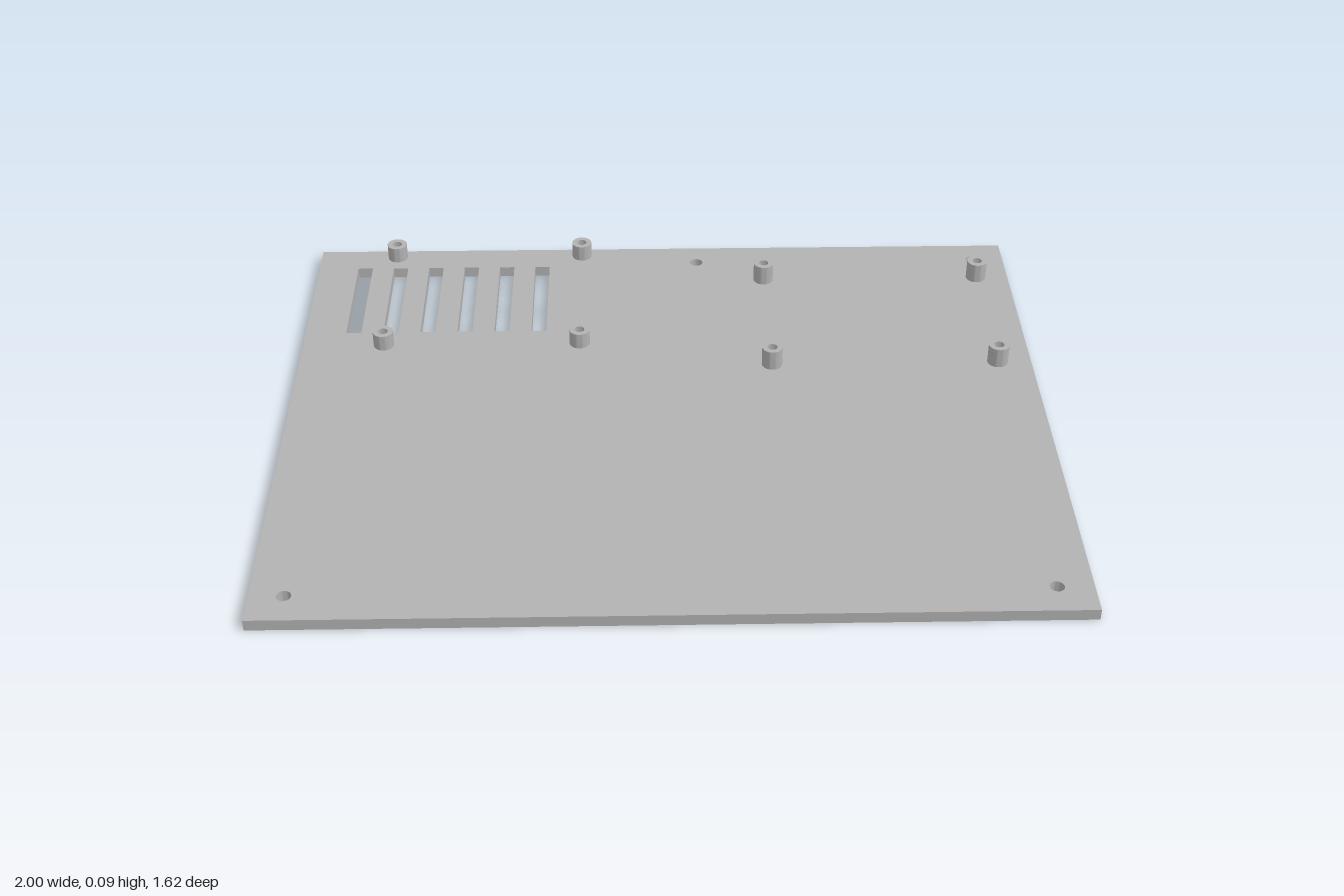
import * as THREE from 'three';
import { toCreasedNormals } from 'three/addons/utils/BufferGeometryUtils.js';

const HALF_X = 1, HALF_Z = 0.81, THICK = 0.03;
const RECESS_DEPTH = 0.013, RECESS_R = 0.052;

// Outlines live in the x / -z plane and are laid flat afterwards.
const layFlat = (geometry) => geometry.rotateX(-Math.PI / 2);

function circlePath(x, z, r) {
  const path = new THREE.Path();
  path.absarc(x, -z, r, 0, Math.PI * 2, true);
  return path;
}

function rectPoints(x0, x1, z0, z1) {
  return [[x0, -z1], [x1, -z1], [x1, -z0], [x0, -z0]].map(([x, y]) => new THREE.Vector2(x, y));
}

function plateFace(holes) {
  const shape = new THREE.Shape(rectPoints(-HALF_X, HALF_X, -HALF_Z, HALF_Z));
  shape.holes.push(...holes);
  return layFlat(new THREE.ShapeGeometry(shape, 16));
}

// Vertical wall following a closed outline: counter-clockwise faces out, clockwise faces in.
function wall(points, y0, y1) {
  const v = [];
  points.forEach((a, i) => {
    const b = points[(i + 1) % points.length];
    if (a.distanceTo(b) < 1e-6) return;
    v.push(a.x, a.y, y0, b.x, b.y, y0, b.x, b.y, y1);
    v.push(a.x, a.y, y0, b.x, b.y, y1, a.x, a.y, y1);
  });
  const geometry = new THREE.BufferGeometry();
  geometry.setAttribute('position', new THREE.Float32BufferAttribute(v, 3));
  geometry.computeVertexNormals();
  return layFlat(toCreasedNormals(geometry, Math.PI / 5));
}

export function createModel() {
  const model = new THREE.Group();
  model.name = 'basePlate';
  const grey = new THREE.MeshStandardMaterial({ color: 0xb2b2b2 });
  grey.name = 'light grey';

  const add = (name, geometry, parent = model) => {
    const mesh = new THREE.Mesh(geometry, grey);
    mesh.name = name;
    parent.add(mesh);
    return mesh;
  };

  // Screw holes and ventilation slots go right through the plate
  const screwHoles = [[0.1, -0.732], [0.91, -0.732], [0.91, 0.725], [-0.915, 0.725]]
    .map(([x, z]) => circlePath(x, z, 0.018));
  const ventSlots = [];
  for (let i = 0; i < 6; i++) {
    const x = -0.866 + i * 0.1032;
    ventSlots.push(new THREE.Path(rectPoints(x - 0.021, x + 0.021, -0.716, -0.381).reverse()));
  }
  const through = [...screwHoles, ...ventSlots];

  // Round foot recesses in the underside
  const recessSpots = [];
  for (const x of [-0.885, 0.885]) for (const z of [-0.685, 0.613]) recessSpots.push([x, z]);
  const recesses = recessSpots.map(([x, z]) => circlePath(x, z, RECESS_R));

  // Plate skin
  add('plateTop', plateFace(through).translate(0, THICK, 0));
  const bottom = plateFace([...through, ...recesses]);
  bottom.setIndex(Array.from(bottom.index.array).reverse());
  bottom.attributes.normal.array.fill(0);
  bottom.computeVertexNormals();
  add('plateBottom', bottom);
  add('plateEdge', wall(rectPoints(-HALF_X, HALF_X, -HALF_Z, HALF_Z), 0, THICK));
  screwHoles.forEach((p) => add('screwHole', wall(p.getPoints(16), 0, THICK)));
  ventSlots.forEach((p) => add('ventSlot', wall(p.getPoints(), 0, THICK)));

  recesses.forEach((p, i) => {
    const [x, z] = recessSpots[i];
    add('footRecessWall', wall(p.getPoints(16), 0, RECESS_DEPTH));
    add('footRecessFloor', new THREE.CircleGeometry(RECESS_R, 32)
      .rotateX(Math.PI / 2).translate(x, RECESS_DEPTH, z));
  });

  // Hollow standoffs in two groups of four
  const standoffs = (name, xs, zs, top) => {
    const group = new THREE.Group();
    group.name = name;
    const profile = [[0.028, THICK], [0.028, top], [0.0135, top], [0.0135, THICK]]
      .map(([r, y]) => new THREE.Vector2(r, y));
    const geometry = toCreasedNormals(new THREE.LatheGeometry(profile, 32), Math.PI / 5);
    for (const x of xs) for (const z of zs) add('standoff', geometry, group).position.set(x, 0, z);
    model.add(group);
  };
  standoffs('rightStandoffs', [-0.776, -0.235], [-0.777, -0.32], 0.075);
  standoffs('leftStandoffs', [0.291, 0.908], [-0.637, -0.208], 0.086);

  return model;
}
